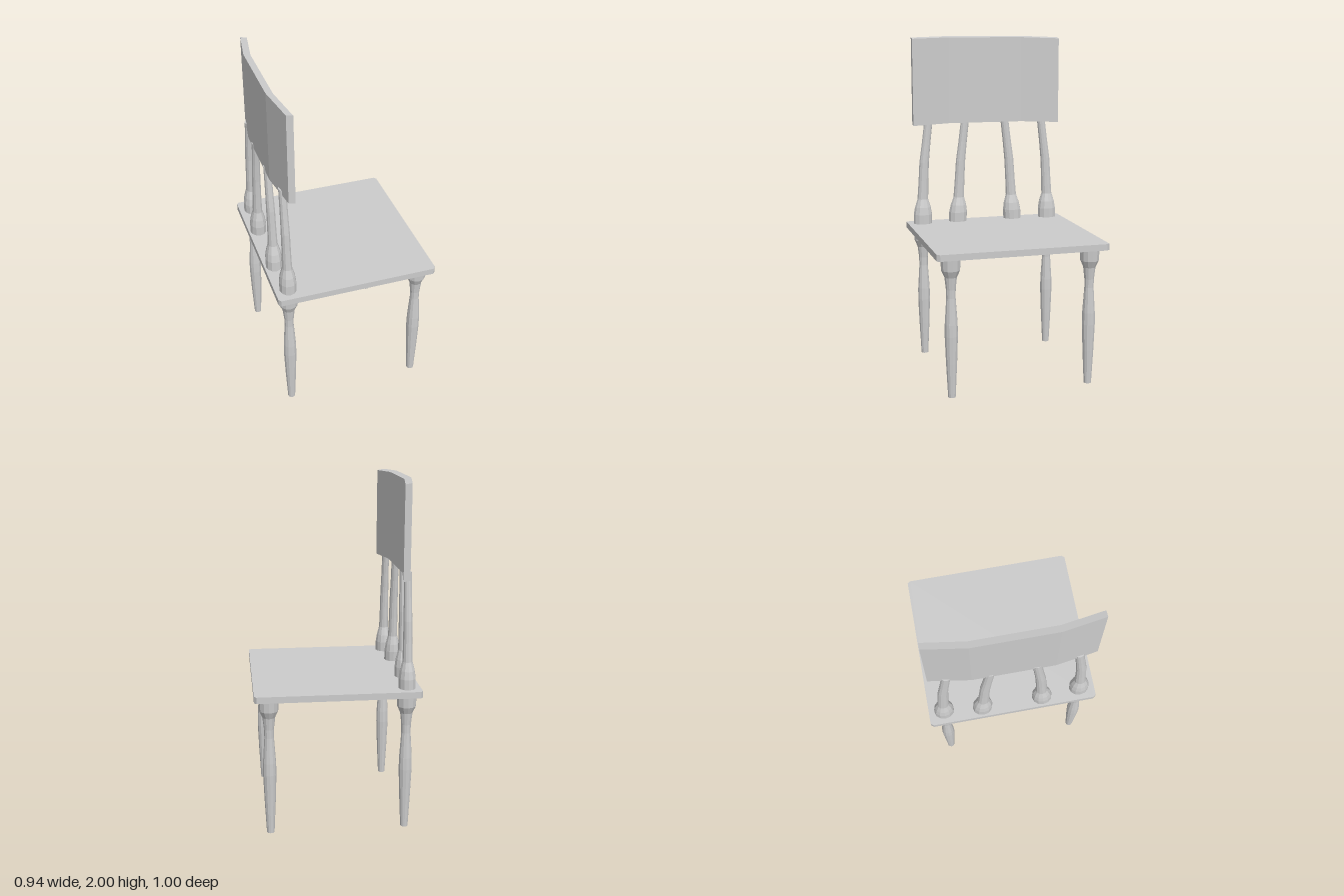
import * as THREE from 'three';

const material = new THREE.MeshStandardMaterial({ color: 0xcccccc, flatShading: true });
const points = (list) => list.map(([x, y]) => new THREE.Vector2(x, y));

function addMesh(parent, name, geometry, x = 0, z = 0) {
  const mesh = new THREE.Mesh(geometry, material);
  mesh.name = name;
  mesh.position.set(x, 0, z);
  parent.add(mesh);
  return mesh;
}

// Plan outline (x, z) raised from y0 to y1; outlines are symmetric in z
function slab(outline, y0, y1) {
  const geometry = new THREE.ExtrudeGeometry(new THREE.Shape(points(outline)), {
    depth: y1 - y0, bevelEnabled: false,
  });
  return geometry.rotateX(-Math.PI / 2).translate(0, y0, 0);
}

export function createModel() {
  const chair = new THREE.Group();
  chair.name = 'chair';

  // Seat board with clipped corners
  const seat = [
    [0.457, -0.5], [0.47, -0.483], [0.47, 0.483], [0.457, 0.5],
    [-0.457, 0.5], [-0.47, 0.483], [-0.47, -0.483], [-0.457, -0.5],
  ];
  addMesh(chair, 'seat', slab(seat, 0.81, 0.847));

  // Turned legs
  const leg = new THREE.LatheGeometry(points([
    [0, 0], [0.022, 0], [0.032, 0.2], [0.038, 0.36], [0.037, 0.43], [0.027, 0.58],
    [0.028, 0.63], [0.036, 0.7], [0.054, 0.74], [0.058, 0.81], [0, 0.81],
  ]), 12);
  for (const side of [-1, 1]) {
    addMesh(chair, 'frontLeg', leg, 0.387, side * 0.408);
    addMesh(chair, 'backLeg', leg, -0.393, side * 0.408);
  }

  // Turned spindles that lean towards the middle as they rise
  const spindleProfile = points([
    [0, 0.847], [0.058, 0.847], [0.058, 0.905], [0.05, 0.95], [0.034, 1.0],
    [0.031, 1.12], [0.03, 1.23], [0.027, 1.35], [0.026, 1.5], [0, 1.5],
  ]);
  const leanHeights = [0.847, 1.0, 1.23, 1.5];
  function spindle(path) {
    const geometry = new THREE.LatheGeometry(spindleProfile, 12).scale(0.84, 1, 1);
    const p = geometry.attributes.position;
    for (let i = 0; i < p.count; i++) {
      const y = p.getY(i);
      const k = y < leanHeights[1] ? 0 : y < leanHeights[2] ? 1 : 2;
      const t = (y - leanHeights[k]) / (leanHeights[k + 1] - leanHeights[k]);
      p.setZ(i, p.getZ(i) + THREE.MathUtils.lerp(path[k], path[k + 1], t));
    }
    geometry.computeVertexNormals();
    return geometry;
  }
  for (const side of [-1, 1]) {
    const outer = [0.408, 0.406, 0.394, 0.362].map((z) => z * side);
    const inner = [0.18, 0.172, 0.158, 0.126].map((z) => z * side);
    addMesh(chair, 'outerSpindle', spindle(outer), -0.393);
    addMesh(chair, 'innerSpindle', spindle(inner), -0.411);
  }

  // Backrest: three flat panels in plan, its edges sloping down to the front
  const back = [
    [-0.388, -0.465], [-0.35, -0.465], [-0.388, -0.23], [-0.388, 0.23],
    [-0.35, 0.465], [-0.388, 0.465], [-0.427, 0.23], [-0.427, -0.23],
  ];
  const backrest = slab(back, 1.477, 2);
  const p = backrest.attributes.position;
  for (let i = 0; i < p.count; i++) p.setY(i, p.getY(i) - 0.2 * (p.getX(i) + 0.427));
  backrest.computeVertexNormals();
  addMesh(chair, 'backrest', backrest);

  return chair;
}
